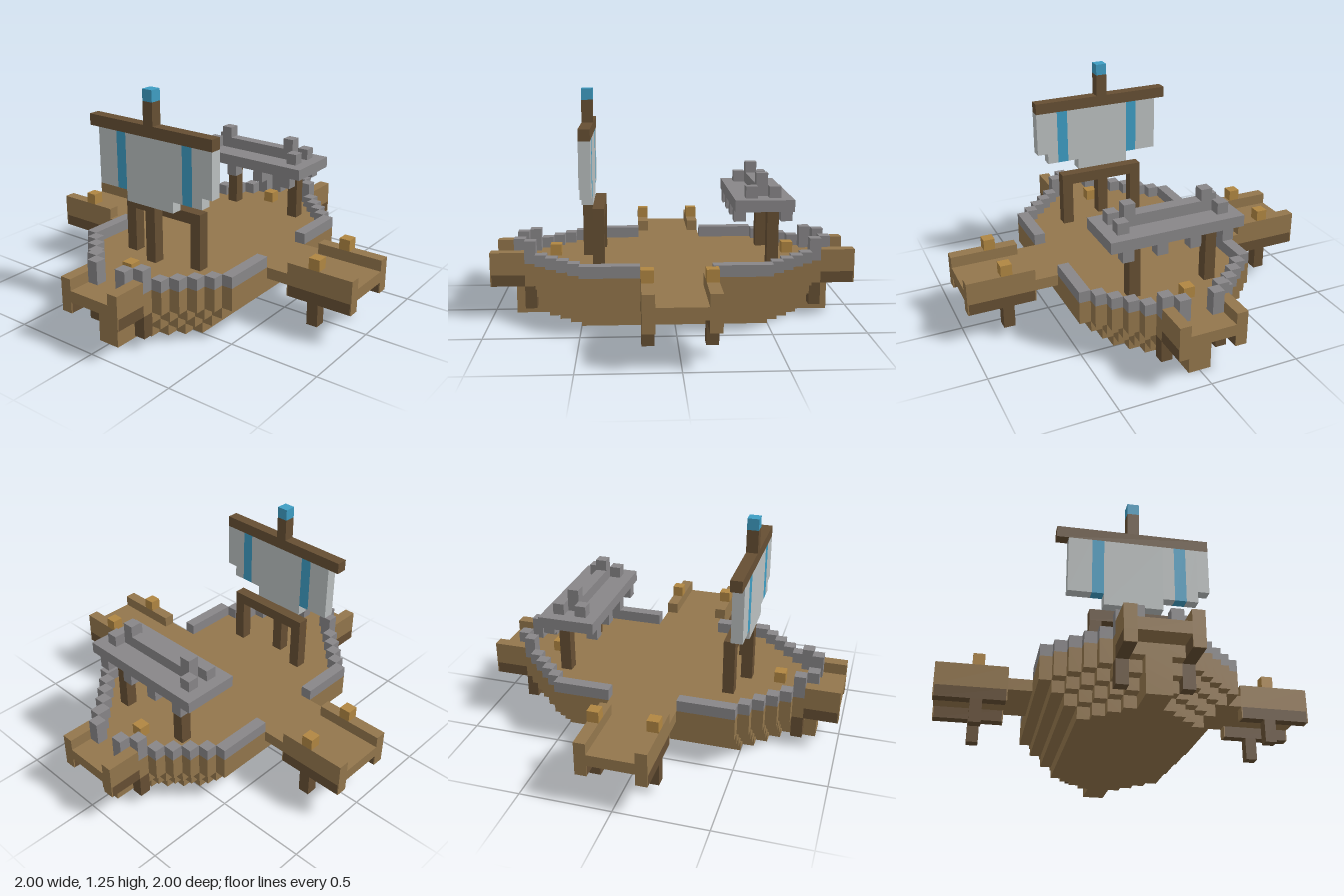
import * as THREE from 'three';

const U = 1 / 16; // one block

export function createModel() {
  const root = new THREE.Group();
  root.name = 'blockShip';

  const mat = (name, color) => {
    const m = new THREE.MeshStandardMaterial({ color });
    m.name = name;
    return m;
  };
  const wood = mat('wood', 0x93764c);
  const darkWood = mat('darkWood', 0x664f33);
  const stone = mat('stone', 0x888688);
  const lantern = mat('lantern', 0xb08642);
  const canvas = mat('canvas', 0xbabfbf);
  const blue = mat('blue', 0x3e9dc3);

  // Box given by its block limits on each axis
  const block = (name, m, x0, x1, y0, y1, z0, z1, parent = root) => {
    const g = new THREE.BoxGeometry((x1 - x0) * U, (y1 - y0) * U, (z1 - z0) * U);
    const mesh = new THREE.Mesh(g, m);
    mesh.position.set((x0 + x1) * U / 2, (y0 + y1) * U / 2, (z0 + z1) * U / 2);
    mesh.name = name;
    parent.add(mesh);
    return mesh;
  };
  const group = (name) => {
    const g = new THREE.Group();
    g.name = name;
    root.add(g);
    return g;
  };
  // Same box on both sides of x = 0 (sx) and z = 0 (sz)
  const span = (s, a, b) => (s > 0 ? [a, b] : [-b, -a]);
  const mirror4 = (name, m, x0, x1, y0, y1, z0, z1, parent) => {
    for (const sx of [1, -1]) for (const sz of [1, -1])
      block(name, m, ...span(sx, x0, x1), y0, y1, ...span(sz, z0, z1), parent);
  };

  // Hull: stepped outlines, each layer one block narrower towards the keel
  const hull = group('hull');
  const hullLayer = (inset, y0, y1) => {
    const quarter = [];
    for (let i = 0; i < 7; i++) {
      const w = Math.max(1, 8 - i - inset);
      quarter.push([w, i ? 7 + i : 0], [w, 8 + i]);
    }
    const half = [...quarter, ...quarter.map(([x, z]) => [-x, z]).reverse()];
    const pts = [...half, ...half.map(([x, z]) => [-x, -z])];
    const shape = new THREE.Shape(pts.map(([x, z]) => new THREE.Vector2(x * U, -z * U)));
    const geo = new THREE.ExtrudeGeometry(shape, { depth: (y1 - y0) * U, bevelEnabled: false });
    geo.rotateX(-Math.PI / 2).translate(0, y0 * U, 0);
    const mesh = new THREE.Mesh(geo, wood);
    mesh.name = 'hullLayer';
    hull.add(mesh);
  };
  hullLayer(3, 0, 1);
  hullLayer(2, 1, 2);
  hullLayer(1, 2, 3);
  hullLayer(0, 3, 5);

  // Stone parapet following the deck edge, taller at both ends
  const parapet = group('parapet');
  mirror4('sideParapet', stone, 7, 8, 5, 6, 3, 8, parapet);
  for (let i = 1; i < 7; i++)
    mirror4('stepParapet', stone, 7 - i, 8 - i, 5, i > 4 ? 7 : 6, 7 + i, 8 + i, parapet);

  // Four platforms: left and right wings, bow and stern
  const platforms = group('platforms');
  for (const s of [1, -1]) {
    block('wingDeck', wood, ...span(s, 8, 16), 4, 5, -2, 2, platforms);
    block('endDeck', wood, -2, 2, 4, 5, ...span(s, 14, 16), platforms);
  }
  mirror4('wingDeckEdge', wood, 8, 10, 4, 5, 2, 3, platforms);
  mirror4('wingRail', wood, 10, 16, 4, 6, 2, 3, platforms);
  mirror4('wingBeam', darkWood, 10.1, 15.9, 3, 4, 2, 3, platforms);
  mirror4('wingBeamCap', wood, 15.9, 16, 3, 4, 2, 3, platforms);
  mirror4('wingBeamCap', wood, 10, 10.1, 3, 4, 2, 3, platforms);
  mirror4('wingPost', darkWood, 12, 13, 1, 3, 2, 3, platforms);
  mirror4('wingLantern', lantern, 12, 13, 6, 7, 2, 3, platforms);
  mirror4('endRail', wood, 2, 3, 4, 6, 13, 16, platforms);
  mirror4('endBeam', darkWood, 2, 3, 3, 4, 13, 15.9, platforms);
  mirror4('endBeamCap', wood, 2, 3, 3, 4, 15.9, 16, platforms);
  mirror4('endPost', darkWood, 2, 3, 1, 3, 12, 13, platforms);
  for (const s of [1, -1])
    block('deckLantern', lantern, -1, 0, 5, 6, ...span(s, 10, 11), platforms);

  // Mast, yard and the frame behind it
  const rig = group('rig');
  block('mastFoot', darkWood, -1, 0, 5, 10, 7, 8, rig);
  block('mastTop', darkWood, -1, 0, 17, 19, 7, 8, rig);
  block('mastCap', blue, -1, 0, 19, 20, 7, 8, rig);
  block('yard', darkWood, -7, 6, 16, 17, 7, 8, rig);
  block('frameBeam', darkWood, -4, 4, 9, 10, 6, 7, rig);
  for (const s of [1, -1])
    block('framePost', darkWood, ...span(s, 3, 4), 5, 9, 6, 7, rig);

  // Sail panels: [x0, x1, bottom, material]
  const sail = group('sail');
  for (const [x0, x1, y0, m] of [
    [-6, -4, 11, canvas], [-4, -3, 11, blue], [-3, 2, 10, canvas],
    [2, 3, 11, canvas], [3, 4, 11, blue], [4, 5, 11, canvas], [5, 6, 12, canvas],
  ]) block('sailPanel', m, x0, x1, y0, 16, 7, 8, sail);

  // Stone canopy at the stern with hanging teeth and a crested roof
  const canopy = group('canopy');
  block('canopySlab', stone, -6, 6, 10, 11, -10, -5, canopy);
  block('canopyRidge', stone, -4, 4, 11, 12, -8, -7, canopy);
  for (const s of [1, -1]) {
    block('canopyPost', darkWood, ...span(s, 3, 4), 5, 10, -9, -8, canopy);
    block('ridgeEnd', stone, ...span(s, 3, 4), 12, 13, -8, -7, canopy);
    for (const z of [-9, -7])
      block('cornerCrest', stone, ...span(s, 4, 5), 11, 12, z, z + 1, canopy);
    for (const x of [1, 4]) for (const z of [-10, -6])
      block('hangingTooth', stone, ...span(s, x, x + 1), 9, 10, z, z + 1, canopy);
  }

  return root;
}
